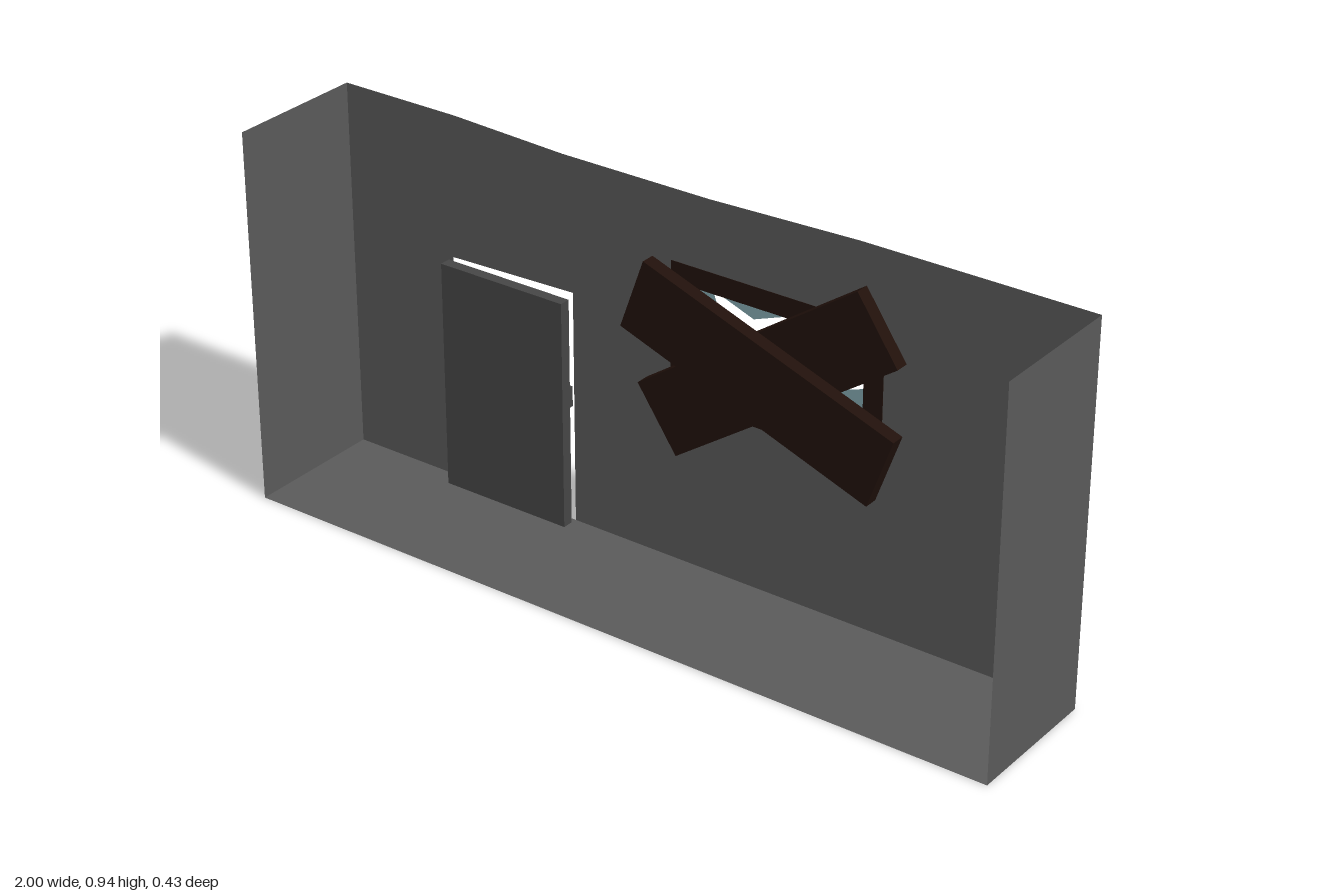
import * as THREE from 'three';

const mat = (color) => new THREE.MeshStandardMaterial({ color, flatShading: true, side: THREE.DoubleSide });
const V = (pts) => pts.map(([x, y]) => new THREE.Vector2(x, y));

// Picture-frame solid: a closed profile of [inset, z] swept around a rectangle
function frameGeometry(x0, x1, y0, y1, profile) {
  const pos = [];
  const ring = ([d, z]) => [[x0 + d, y0 + d, z], [x1 - d, y0 + d, z], [x1 - d, y1 - d, z], [x0 + d, y1 - d, z]];
  profile.forEach((p, i) => {
    const a = ring(p), b = ring(profile[(i + 1) % profile.length]);
    for (let j = 0; j < 4; j++) {
      const k = (j + 1) % 4;
      pos.push(...a[j], ...b[j], ...b[k], ...a[j], ...b[k], ...a[k]);
    }
  });
  const g = new THREE.BufferGeometry();
  g.setAttribute('position', new THREE.Float32BufferAttribute(pos, 3));
  g.computeVertexNormals();
  return g;
}

export function createModel() {
  const model = new THREE.Group();
  const wallMat = mat(0x5a5a5a), doorMat = mat(0x464646), wood = mat(0x21110b), glass = mat(0x82a6ae);
  const add = (name, geo, material, x = 0, y = 0, z = 0) => {
    const m = new THREE.Mesh(geo, material);
    m.name = name;
    m.position.set(x, y, z);
    model.add(m);
    return m;
  };
  const back = -0.14, front = 0.215, depth = front - back, midZ = (front + back) / 2;

  // Back wall with a sagging top edge, a doorway notch and a window opening
  const wall = new THREE.Shape(V([
    [-1, 0], [-0.695, 0], [-0.695, 0.581], [-0.345, 0.592], [-0.345, 0], [1, 0],
    [1, 0.94], [0.42, 0.94], [0.03, 0.928], [-0.37, 0.928], [-0.68, 0.94], [-1, 0.94],
  ]));
  wall.holes.push(new THREE.Path(V([[-0.045, 0.435], [-0.045, 0.73], [0.465, 0.73], [0.465, 0.435]])));
  add('backWall', new THREE.ShapeGeometry(wall), wallMat, 0, 0, back);

  // Side walls and floor
  for (const s of [-1, 1]) {
    const side = add(s > 0 ? 'leftWall' : 'rightWall', new THREE.PlaneGeometry(depth, 0.94), wallMat, s, 0.47, midZ);
    side.rotation.y = s * Math.PI / 2;
  }
  add('floor', new THREE.PlaneGeometry(2, depth), wallMat, 0, 0, midZ).rotation.x = -Math.PI / 2;

  // Door standing just inside the doorway, with its square handle behind
  add('door', new THREE.BoxGeometry(0.35, 0.58, 0.028), doorMat, -0.52, 0.291, -0.11);
  add('doorHandle', new THREE.BoxGeometry(0.055, 0.052, 0.068), doorMat, -0.418, 0.291, -0.158);

  // Chamfered window frame on the outside of the wall
  add('windowFrame', frameGeometry(-0.07, 0.49, 0.411, 0.754, [
    [0, -0.139], [0, -0.19], [0.025, -0.215], [0.05, -0.215], [0.05, -0.139],
  ]), wood);

  // Broken pane: jagged hole in a flat sheet of glass
  const pane = new THREE.Shape(V([[-0.025, 0.456], [0.445, 0.456], [0.445, 0.71], [-0.025, 0.71]]));
  pane.holes.push(new THREE.Path(V([
    [-0.015, 0.47], [0.02, 0.575], [-0.01, 0.62], [0.04, 0.64], [0.02, 0.695], [0.13, 0.655], [0.25, 0.7],
    [0.33, 0.65], [0.43, 0.7], [0.4, 0.62], [0.435, 0.58], [0.35, 0.55], [0.42, 0.475],
    [0.26, 0.515], [0.2, 0.465], [0.08, 0.48], [0.05, 0.54],
  ])));
  add('brokenGlass', new THREE.ShapeGeometry(pane), glass, 0, 0, -0.172);

  // Two crossed boards nailed over the window
  const board = new THREE.BoxGeometry(0.697, 0.186, 0.035);
  add('innerBoard', board, wood, 0.22, 0.58, -0.1).rotation.z = THREE.MathUtils.degToRad(34.5);
  add('outerBoard', board, wood, 0.22, 0.58, -0.063).rotation.z = THREE.MathUtils.degToRad(-19.7);

  return model;
}
